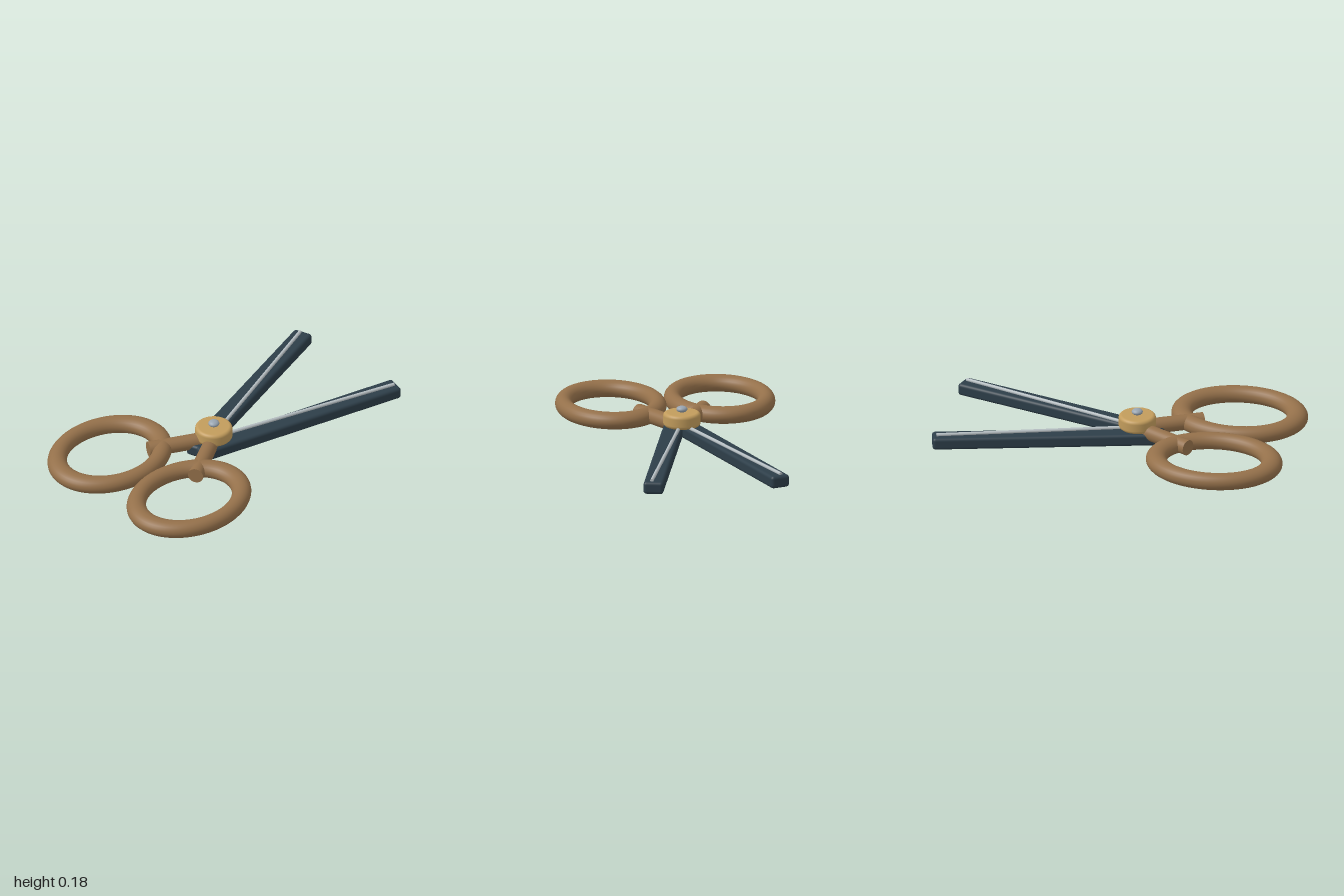
import * as THREE from 'three';
import { RoundedBoxGeometry } from 'three/addons/geometries/RoundedBoxGeometry.js';

const handleBrown = new THREE.MeshStandardMaterial({ name: 'handleBrown', color: 0x94704a });
const bladeSlate = new THREE.MeshStandardMaterial({ name: 'bladeSlate', color: 0x2d3e49 });
const brass = new THREE.MeshStandardMaterial({ name: 'brass', color: 0xc29c5c });
const edgeSilver = new THREE.MeshStandardMaterial({ name: 'edgeSilver', color: 0xb4bcc0 });
const screwSteel = new THREE.MeshStandardMaterial({ name: 'screwSteel', color: 0x98a4b0 });

function part(name, geometry, material, x = 0, y = 0, z = 0) {
  const mesh = new THREE.Mesh(geometry, material);
  mesh.name = name;
  mesh.position.set(x, y, z);
  return mesh;
}

// Straight rod between two points
function rod(name, a, b, radius, material, sides) {
  const from = new THREE.Vector3(...a), to = new THREE.Vector3(...b);
  const dir = to.clone().sub(from);
  const mesh = part(name, new THREE.CylinderGeometry(radius, radius, dir.length(), sides), material);
  mesh.position.copy(from).add(to).multiplyScalar(0.5);
  mesh.quaternion.setFromUnitVectors(new THREE.Vector3(0, 1, 0), dir.normalize());
  return mesh;
}

// One half of the scissors; s is the side (+1 left, -1 right)
function half(s) {
  const g = new THREE.Group();
  g.name = s > 0 ? 'leftHalf' : 'rightHalf';

  // Blade bar with softened corners
  const blade = part('blade', new RoundedBoxGeometry(0.112, 0.07, 1.275, 3, 0.018), bladeSlate, s * 0.186, 0.035, -0.372);
  blade.rotation.y = -s * 0.278;
  g.add(blade);

  // Bright cutting edge lying on top of the blade
  g.add(rod('cuttingEdge', [s * 0.02, 0.075, 0.06], [s * 0.364, 0.075, -0.96], 0.01, edgeSilver, 12));

  // Shank from the pivot into the finger ring
  g.add(rod('shank', [s * 0.028, 0.066, 0.15], [s * 0.183, 0.066, 0.433], 0.044, handleBrown, 32));

  // Oval finger ring
  const ring = new THREE.TorusGeometry(0.259, 0.048, 24, 80);
  ring.rotateX(Math.PI / 2).scale(1, 1, 1.25);
  g.add(part('fingerRing', ring, handleBrown, s * 0.307, 0.062, 0.612));
  return g;
}

export function createModel() {
  const model = new THREE.Group();
  model.name = 'scissors';
  for (const s of [1, -1]) model.add(half(s));

  // Pivot disc with rounded rims
  const R = 0.104, bottom = 0.07, top = 0.15, r = 0.02;
  const profile = [new THREE.Vector2(0, bottom)];
  for (let i = 0; i <= 6; i++) {
    const a = -Math.PI / 2 + (i / 6) * Math.PI / 2;
    profile.push(new THREE.Vector2(R - r + r * Math.cos(a), bottom + r + r * Math.sin(a)));
  }
  for (let i = 0; i <= 6; i++) {
    const a = (i / 6) * Math.PI / 2;
    profile.push(new THREE.Vector2(R - r + r * Math.cos(a), top - r + r * Math.sin(a)));
  }
  profile.push(new THREE.Vector2(0, top));
  model.add(part('pivotDisc', new THREE.LatheGeometry(profile, 48), brass, 0, 0, 0.1));

  // Flattened screw head
  const screw = new THREE.SphereGeometry(0.031, 32, 20).scale(1, 0.58, 1);
  model.add(part('screw', screw, screwSteel, 0, 0.166, 0.1));
  return model;
}
